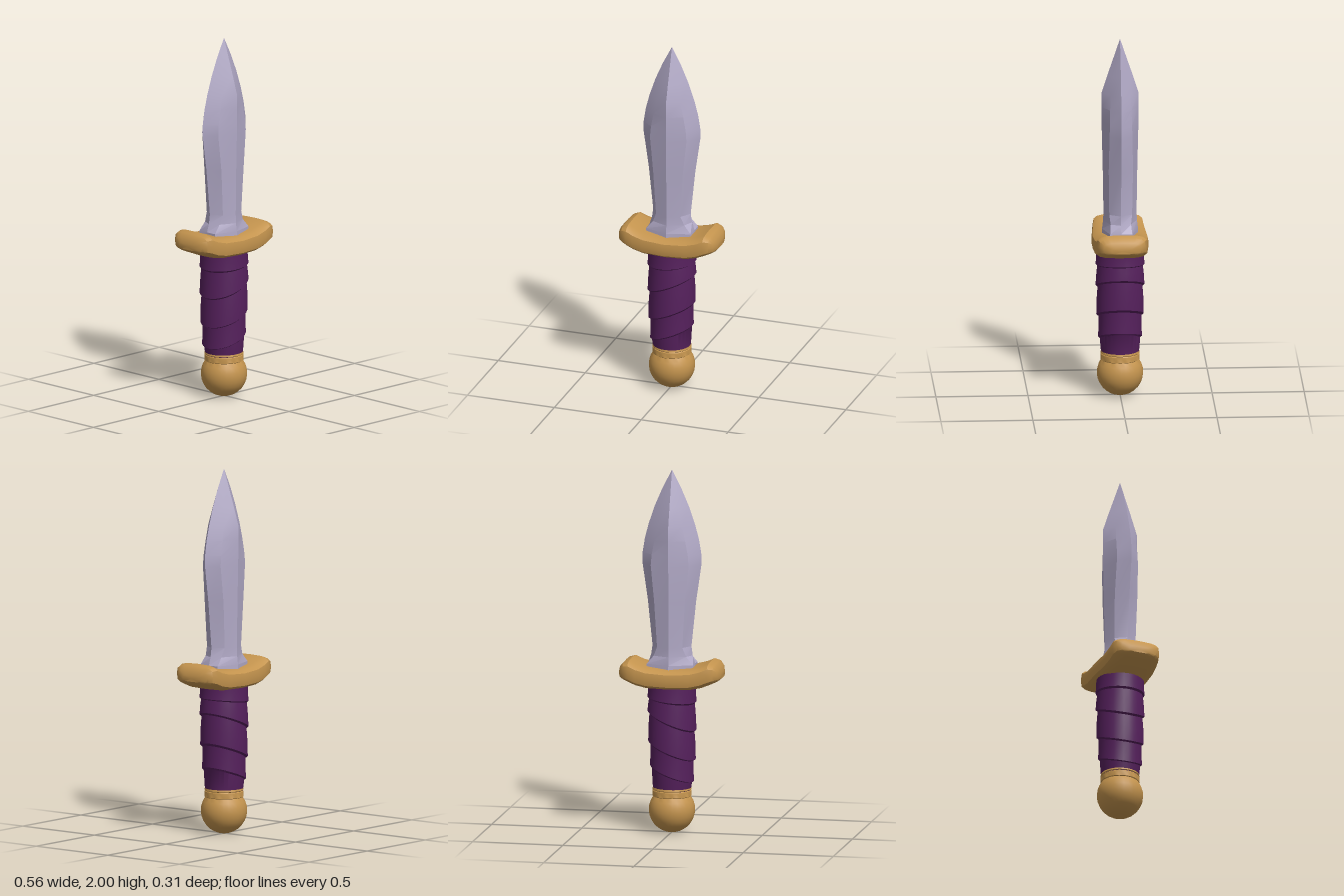
import * as THREE from 'three';
import { toCreasedNormals } from 'three/addons/utils/BufferGeometryUtils.js';

const steel = new THREE.MeshStandardMaterial({ color: 0xb1a9c6 });
steel.name = 'steel';
const gold = new THREE.MeshStandardMaterial({ color: 0xc4944e });
gold.name = 'gold';
const leather = new THREE.MeshStandardMaterial({ color: 0x55205c });
leather.name = 'purple leather';

// Joins rings of [x, y, z] points into a closed, capped skin
function loft(rings, crease) {
  const n = rings[0].length;
  const pos = [];
  const index = [];
  rings.forEach((ring) => ring.forEach((p) => pos.push(...p)));
  for (let i = 0; i < rings.length - 1; i++) {
    for (let j = 0; j < n; j++) {
      const k = (j + 1) % n;
      const a = i * n + j, b = i * n + k, c = a + n, d = b + n;
      index.push(a, b, d, a, d, c);
    }
  }
  [0, rings.length - 1].forEach((r, end) => {
    const centre = [0, 1, 2].map((k) => rings[r].reduce((s, p) => s + p[k], 0) / n);
    const m = pos.length / 3;
    pos.push(...centre);
    for (let j = 0; j < n; j++) {
      const a = r * n + j, b = r * n + (j + 1) % n;
      if (end) index.push(m, a, b);
      else index.push(m, b, a);
    }
  });
  const geo = new THREE.BufferGeometry();
  geo.setAttribute('position', new THREE.Float32BufferAttribute(pos, 3));
  geo.setIndex(index);
  return toCreasedNormals(geo, crease);
}

// Ridged blade: [y, half width, half depth, shoulder x, shoulder z]
function bladeGeometry() {
  const sections = [
    [0.86, 0.13, 0.1, 0.13, 0.06],
    [0.935, 0.13, 0.098, 0.128, 0.06],
    [0.98, 0.115, 0.092, 0.09, 0.055],
    [1.03, 0.108, 0.09, 0.07, 0.062],
    [1.28, 0.134, 0.094, 0.085, 0.066],
    [1.48, 0.163, 0.099, 0.105, 0.062],
    [1.54, 0.163, 0.1, 0.1, 0.06],
    [1.62, 0.15, 0.101, 0.085, 0.058],
    [1.7, 0.129, 0.1, 0.068, 0.054],
    [1.8, 0.095, 0.068, 0.049, 0.036],
    [1.9, 0.052, 0.034, 0.027, 0.018],
    [2, 0.0005, 0.0005, 0.0003, 0.0003],
  ];
  return loft(sections.map(([y, w, d, sx, sz]) => [
    [0, y, d], [sx, y, sz], [w, y, 0], [sx, y, -sz],
    [0, y, -d], [-sx, y, -sz], [-w, y, 0], [-sx, y, sz],
  ]), 0.3);
}

// Upswept guard: [x, top, bottom, half depth], mirrored in x
function guardGeometry() {
  const half = [
    [0, 0.915, 0.8, 0.155],
    [0.12, 0.922, 0.803, 0.148],
    [0.18, 0.938, 0.815, 0.142],
    [0.22, 0.956, 0.831, 0.138],
    [0.25, 0.947, 0.844, 0.126],
    [0.27, 0.925, 0.854, 0.102],
    [0.281, 0.898, 0.864, 0.06],
  ];
  const left = half.slice(1).reverse().map(([x, ...rest]) => [-x, ...rest]);
  const soft = (v) => Math.sign(v) * Math.pow(Math.abs(v), 0.55);
  return loft([...left, ...half].map(([x, top, bottom, depth]) => {
    const ring = [];
    for (let j = 0; j < 16; j++) {
      const a = (j / 16) * Math.PI * 2;
      const y = (top + bottom) / 2 + soft(Math.cos(a)) * (top - bottom) / 2;
      ring.push([x, y, soft(Math.sin(a)) * depth]);
    }
    return ring;
  }), 0.6);
}

// Wrapped grip: [y, radius, tilt], each seam a small step on a tilted ring
function gripGeometry() {
  const profile = [
    [0.22, 0.1, 0], [0.25, 0.104, 0.05], [0.32, 0.11, 0.36],
    [0.328, 0.119, 0.38], [0.39, 0.117, 0.4], [0.445, 0.117, 0.4],
    [0.455, 0.129, 0.4], [0.53, 0.128, 0.42], [0.61, 0.122, 0.42],
    [0.62, 0.133, 0.4], [0.68, 0.129, 0.25], [0.728, 0.124, 0.12],
    [0.736, 0.133, 0.1], [0.79, 0.129, 0.03], [0.84, 0.129, 0],
  ];
  return loft(profile.map(([y, r, tilt]) => {
    const ring = [];
    for (let j = 0; j < 28; j++) {
      const a = (j / 28) * Math.PI * 2;
      const x = Math.sin(a) * r;
      ring.push([x, y + tilt * x, Math.cos(a) * r]);
    }
    return ring;
  }), 0.6);
}

// Ball pommel running up into a banded collar
function pommelGeometry() {
  const points = [];
  for (let i = 0; i <= 11; i++) {
    const a = (i / 11) * 2.42;
    points.push(new THREE.Vector2(Math.sin(a) * 0.126, 0.126 - Math.cos(a) * 0.126));
  }
  [[0.1, 0.198], [0.106, 0.203], [0.106, 0.232], [0.102, 0.236], [0.106, 0.24], [0.104, 0.25], [0, 0.25]]
    .forEach(([r, y]) => points.push(new THREE.Vector2(r, y)));
  return toCreasedNormals(new THREE.LatheGeometry(points, 28), 0.6);
}

export function createModel() {
  const model = new THREE.Group();
  model.name = 'dagger';
  const add = (name, geometry, material) => {
    const mesh = new THREE.Mesh(geometry, material);
    mesh.name = name;
    model.add(mesh);
  };
  add('blade', bladeGeometry(), steel);
  add('guard', guardGeometry(), gold);
  add('grip', gripGeometry(), leather);
  add('pommel', pommelGeometry(), gold);
  return model;
}
